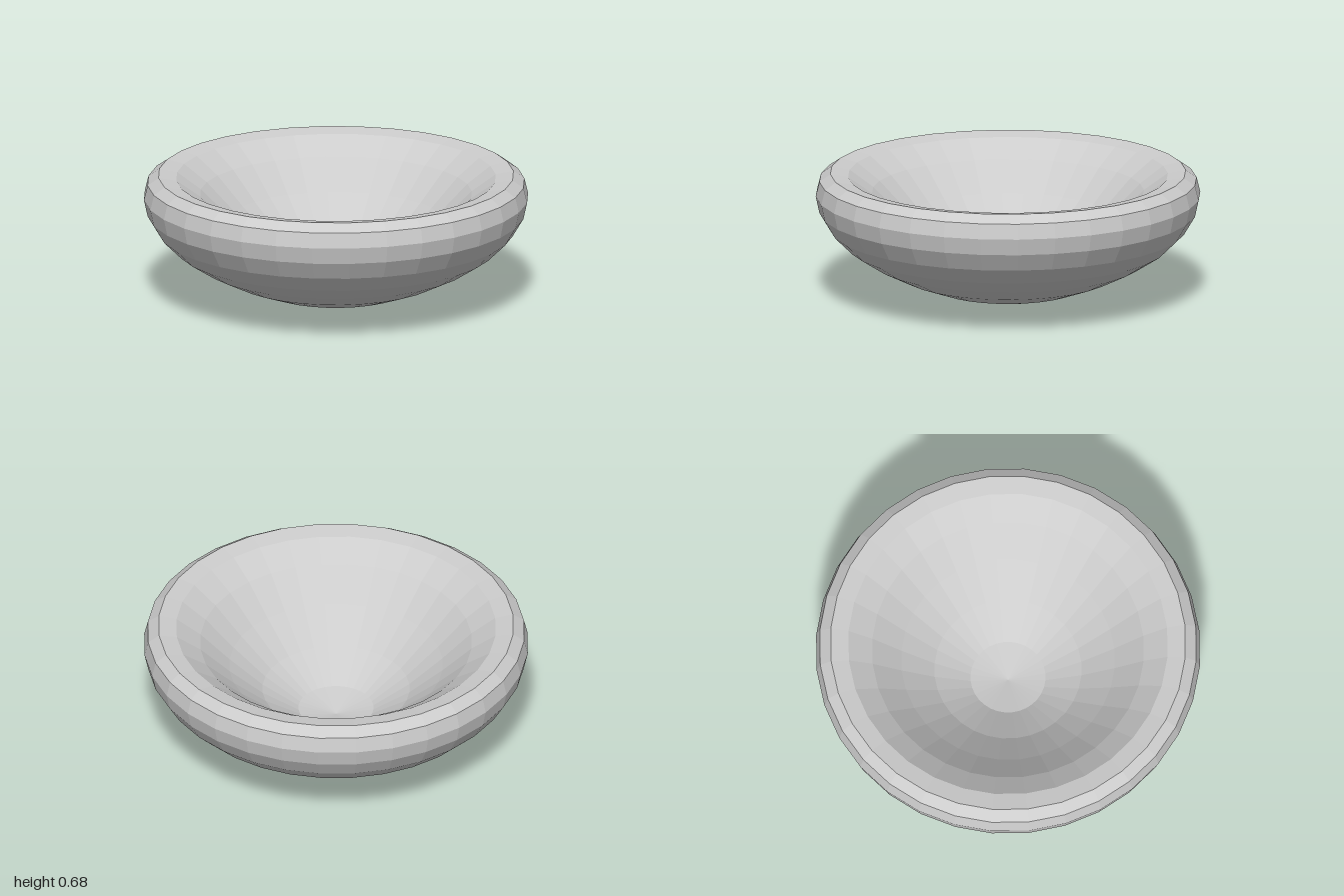
import * as THREE from 'three';

const SIDES = 32;

// Ring radii follow a sphere's even latitude steps
const ringRadius = (k) => Math.sin((k * Math.PI) / 16);

export function createModel() {
  const group = new THREE.Group();
  group.name = 'bowl';

  // Heights of the rings, from the centre outward
  const outer = [0, 0.017, 0.064, 0.128, 0.203, 0.283, 0.374, 0.47, 0.558];
  const inner = [0.115, 0.155, 0.275, 0.425, 0.572, 0.66, 0.676, 0.636];

  // Up the outside to the widest ring, over the rim, then down into the hollow
  const profile = [
    ...outer.map((y, k) => new THREE.Vector2(k ? ringRadius(k) : 0, y)),
    ...inner.map((y, k) => new THREE.Vector2(k ? ringRadius(k) : 0, y)).reverse(),
  ];

  const material = new THREE.MeshStandardMaterial({ color: 0xcccccc, flatShading: true });
  const shell = new THREE.Mesh(new THREE.LatheGeometry(profile, SIDES), material);
  shell.name = 'bowlShell';
  group.add(shell);

  return group;
}
